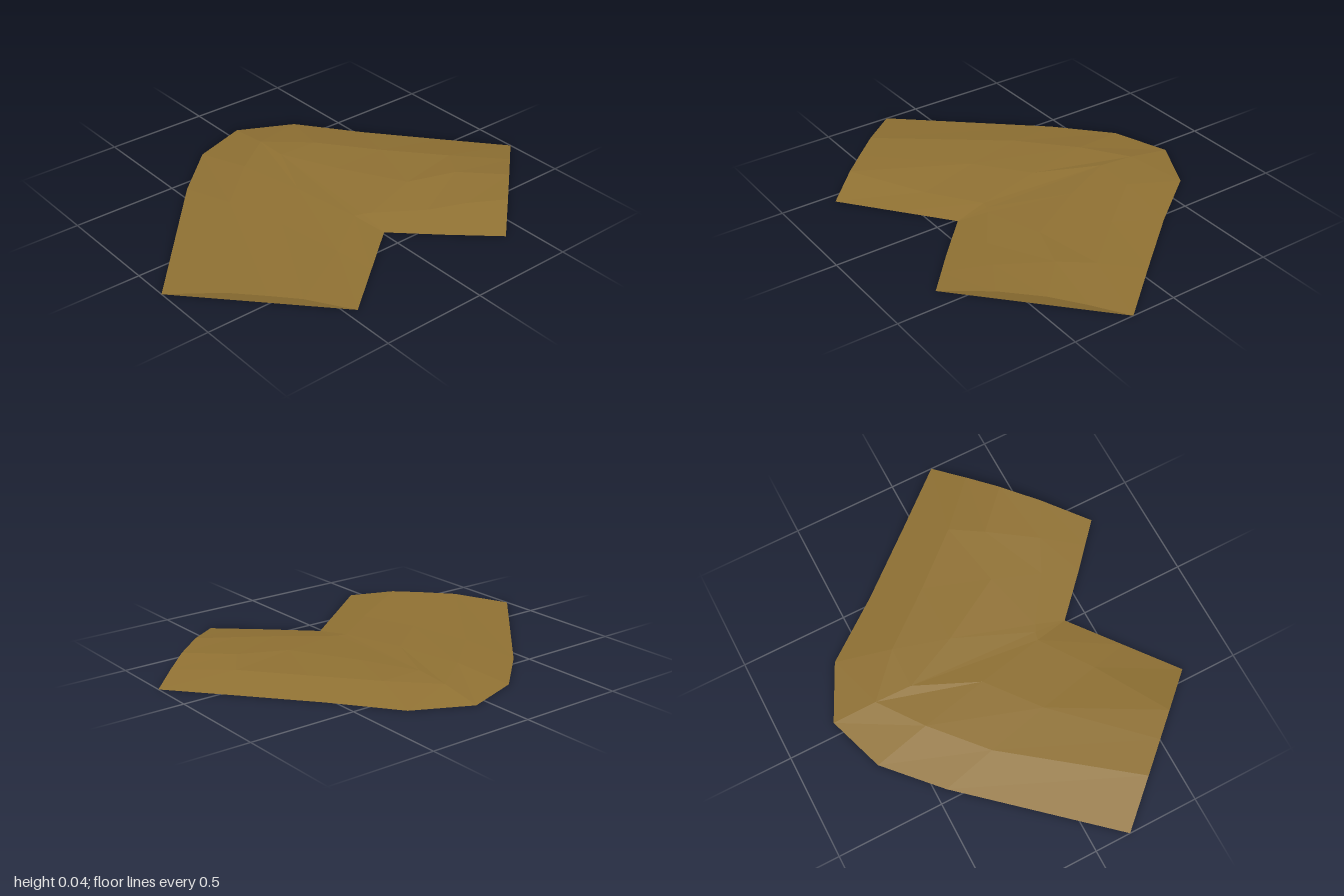
import * as THREE from 'three';

// Each station crosses the bend: outer [x, z], inner [x, z], crown points [fraction across, height]
const stations = [
  { outer: [-1, 0.17], inner: [-0.45, 0.76], crown: [[0.33, 0.033], [0.55, 0.034], [0.73, 0.032]] },
  { outer: [-0.45, -0.45], inner: [-0.22, 0.58], crown: [[0.25, 0.03], [0.54, 0.034], [0.83, 0.018]] },
  { outer: [-0.21, -0.67], inner: [0.01, 0.4], crown: [[0.25, 0.034], [0.55, 0.035], [0.85, 0.02]] },
  { outer: [0.06, -0.76], inner: [0.01, 0.4], crown: [[0.18, 0.029], [0.33, 0.037], [0.87, 0.02]] },
  { outer: [0.32, -0.63], inner: [0.01, 0.4], crown: [[0.25, 0.034], [0.5, 0.037], [0.87, 0.02]] },
  { outer: [0.53, -0.35], inner: [0.2, 0.58], crown: [[0.25, 0.031], [0.58, 0.036], [0.82, 0.024]] },
  { outer: [0.78, -0.05], inner: [0.3, 0.67], crown: [[0.25, 0.033], [0.45, 0.043], [0.75, 0.033]] },
  { outer: [1, 0.21], inner: [0.4, 0.76], crown: [[0.22, 0.025], [0.43, 0.041], [0.69, 0.036]] },
];

function makeSection({ outer, inner, crown }) {
  return [[0, 0], ...crown, [1, 0]].map(([t, h]) => new THREE.Vector3(
    THREE.MathUtils.lerp(outer[0], inner[0], t), h,
    THREE.MathUtils.lerp(outer[1], inner[1], t)));
}

function buildPath() {
  const sections = stations.map(makeSection);
  const last = sections[0].length - 1;
  const positions = [];
  const tri = (a, b, c) => {
    const area = b.clone().sub(a).cross(c.clone().sub(a)).length();
    if (area > 1e-7) for (const p of [a, b, c]) positions.push(p.x, p.y, p.z);
  };

  for (let i = 0; i < sections.length - 1; i++) {
    const s = sections[i], n = sections[i + 1];
    // Uneven top surface
    for (let j = 0; j < last; j++) {
      tri(s[j], s[j + 1], n[j]);
      tri(s[j + 1], n[j + 1], n[j]);
    }
    // Flat underside
    tri(s[0], n[0], s[last]);
    tri(s[last], n[0], n[last]);
  }

  // Upright cut faces at both ends
  const start = sections[0], end = sections[sections.length - 1];
  for (let j = 1; j < last; j++) {
    tri(start[0], start[j + 1], start[j]);
    tri(end[0], end[j], end[j + 1]);
  }

  const geometry = new THREE.BufferGeometry();
  geometry.setAttribute('position', new THREE.Float32BufferAttribute(positions, 3));
  geometry.computeVertexNormals();
  return geometry;
}

export function createModel() {
  const group = new THREE.Group();
  group.name = 'pathCorner';
  const earth = new THREE.MeshStandardMaterial({ color: 0x927334, flatShading: true });
  earth.name = 'earthBrown';
  const path = new THREE.Mesh(buildPath(), earth);
  path.name = 'dirtPathBend';
  group.add(path);
  return group;
}
